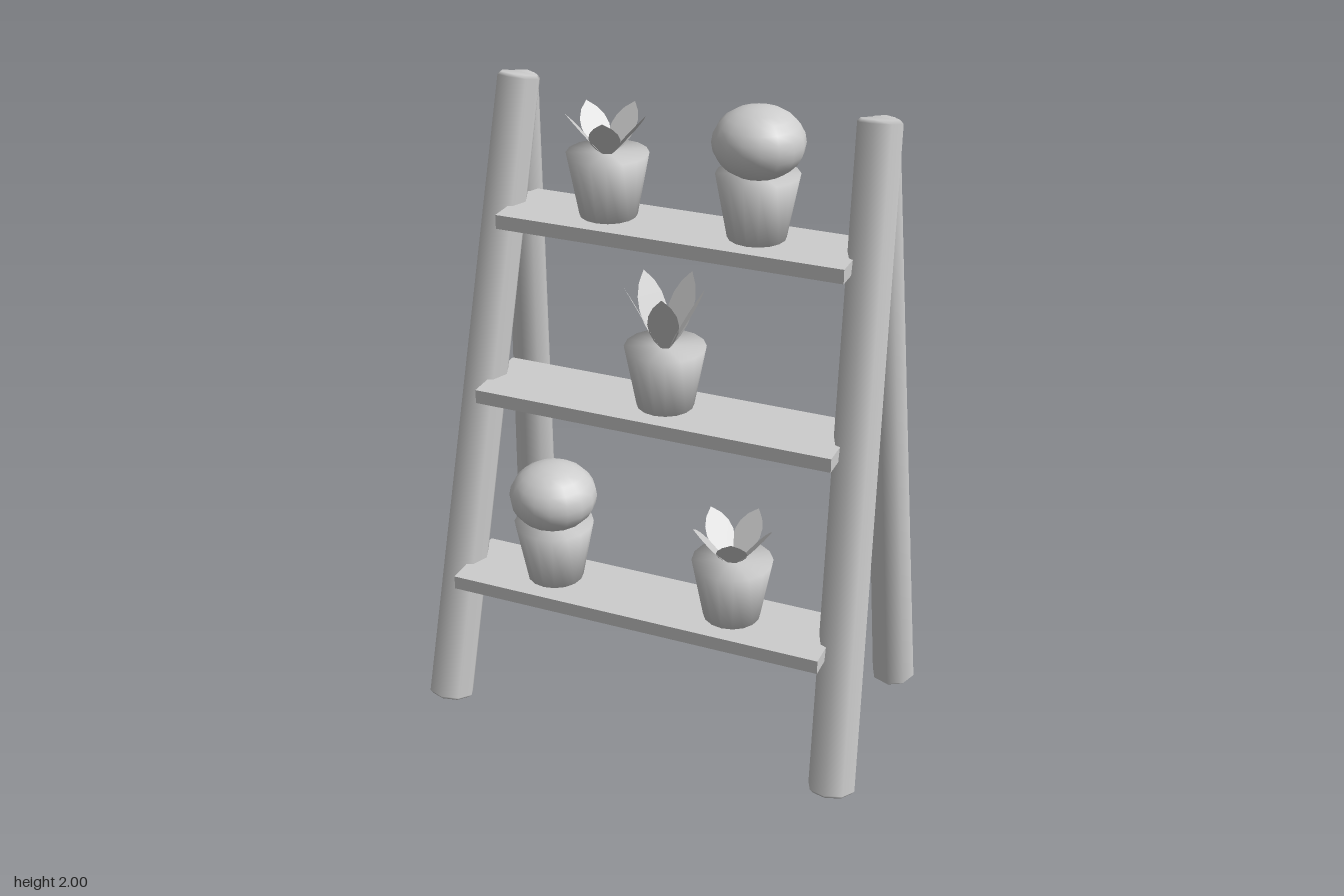
import * as THREE from 'three';

const grey = new THREE.MeshStandardMaterial({ color: 0xcccccc });
grey.name = 'light grey';
const leafGrey = new THREE.MeshStandardMaterial({ color: 0xcccccc, side: THREE.DoubleSide });
leafGrey.name = 'leaf grey';

function addMesh(parent, name, geometry, material = grey) {
  const mesh = new THREE.Mesh(geometry, material);
  mesh.name = name;
  parent.add(mesh);
  return mesh;
}

// closed turned solid with a smooth, slightly bevelled profile
function turned(pairs, sides) {
  return new THREE.LatheGeometry(pairs.map(([r, y]) => new THREE.Vector2(r, y)), sides);
}

// tapered pole running between two points, ends square to its axis
function addPole(parent, name, bottom, top, r0, r1) {
  const axis = top.clone().sub(bottom);
  const h = axis.length();
  const b = 0.01;
  const pole = addMesh(parent, name, turned(
    [[0, 0], [r0 - b, 0], [r0, b], [r1, h - b], [r1 - b, h], [0, h]], 8));
  pole.position.copy(bottom);
  pole.quaternion.setFromUnitVectors(new THREE.Vector3(0, 1, 0), axis.normalize());
}

// tapered pot standing on its own origin
const POT_HEIGHT = 0.192;
const potGeometry = turned(
  [[0, 0], [0.087, 0], [0.123, POT_HEIGHT], [0, POT_HEIGHT]], 16);

// pointed leaf rising along y, leaning outward along z
function leafGeometry(height) {
  const reach = 0.105;
  const length = Math.hypot(reach, height);
  const s = new THREE.Shape();
  s.moveTo(-0.012, 0);
  s.bezierCurveTo(-0.055, length * 0.28, -0.065, length * 0.7, 0, length);
  s.bezierCurveTo(0.065, length * 0.7, 0.055, length * 0.28, 0.012, 0);
  const g = new THREE.ShapeGeometry(s, 6);
  g.rotateX(Math.atan2(reach, height));
  g.translate(0, 0, 0.018);
  return g;
}

function addPlant(parent, x, y, z, leafHeight) {
  const plant = new THREE.Group();
  plant.name = leafHeight ? 'leafyPlant' : 'roundPlant';
  plant.position.set(x, y, z);
  addMesh(plant, 'pot', potGeometry);
  if (leafHeight) {
    const geometry = leafGeometry(leafHeight);
    for (let i = 0; i < 5; i++) {
      const leaf = addMesh(plant, 'leaf', geometry, leafGrey);
      leaf.position.y = POT_HEIGHT;
      leaf.rotation.y = Math.PI / 2 + i * Math.PI * 2 / 5;
    }
  } else {
    const bush = addMesh(plant, 'bush', new THREE.SphereGeometry(0.135, 16, 12));
    bush.scale.y = 0.78;
    bush.position.y = 0.285;
  }
  parent.add(plant);
}

export function createModel() {
  const model = new THREE.Group();
  model.name = 'ladderPlantStand';

  // two splayed leg pairs that meet at the top
  for (const [side, label] of [[1, 'left'], [-1, 'right']]) {
    addPole(model, label + 'FrontLeg',
      new THREE.Vector3(side * 0.653, 0.017, 0.33),
      new THREE.Vector3(side * 0.56, 1.98, -0.142), 0.073, 0.067);
    addPole(model, label + 'RearLeg',
      new THREE.Vector3(side * 0.653, 0.016, -0.326),
      new THREE.Vector3(side * 0.56, 1.97, -0.152), 0.07, 0.055);
  }

  // shelves: half width, top height, centre depth
  const shelves = [
    ['lowerShelf', 0.6, 0.49, 0.23],
    ['middleShelf', 0.57, 1.083, 0.085],
    ['upperShelf', 0.543, 1.61, -0.045],
  ];
  for (const [name, half, top, z] of shelves) {
    const shelf = addMesh(model, name, new THREE.BoxGeometry(half * 2, 0.044, 0.25));
    shelf.position.set(0, top - 0.022, z);
  }

  // potted plants; a leaf height of zero gives a round bush
  const plants = [
    [0, -0.314, 0],
    [0, 0.278, 0.123],
    [1, 0, 0.2],
    [2, -0.237, 0.125],
    [2, 0.233, 0],
  ];
  for (const [level, x, leafHeight] of plants) {
    const [, , top, z] = shelves[level];
    addPlant(model, x, top, z - 0.015, leafHeight);
  }
  return model;
}
